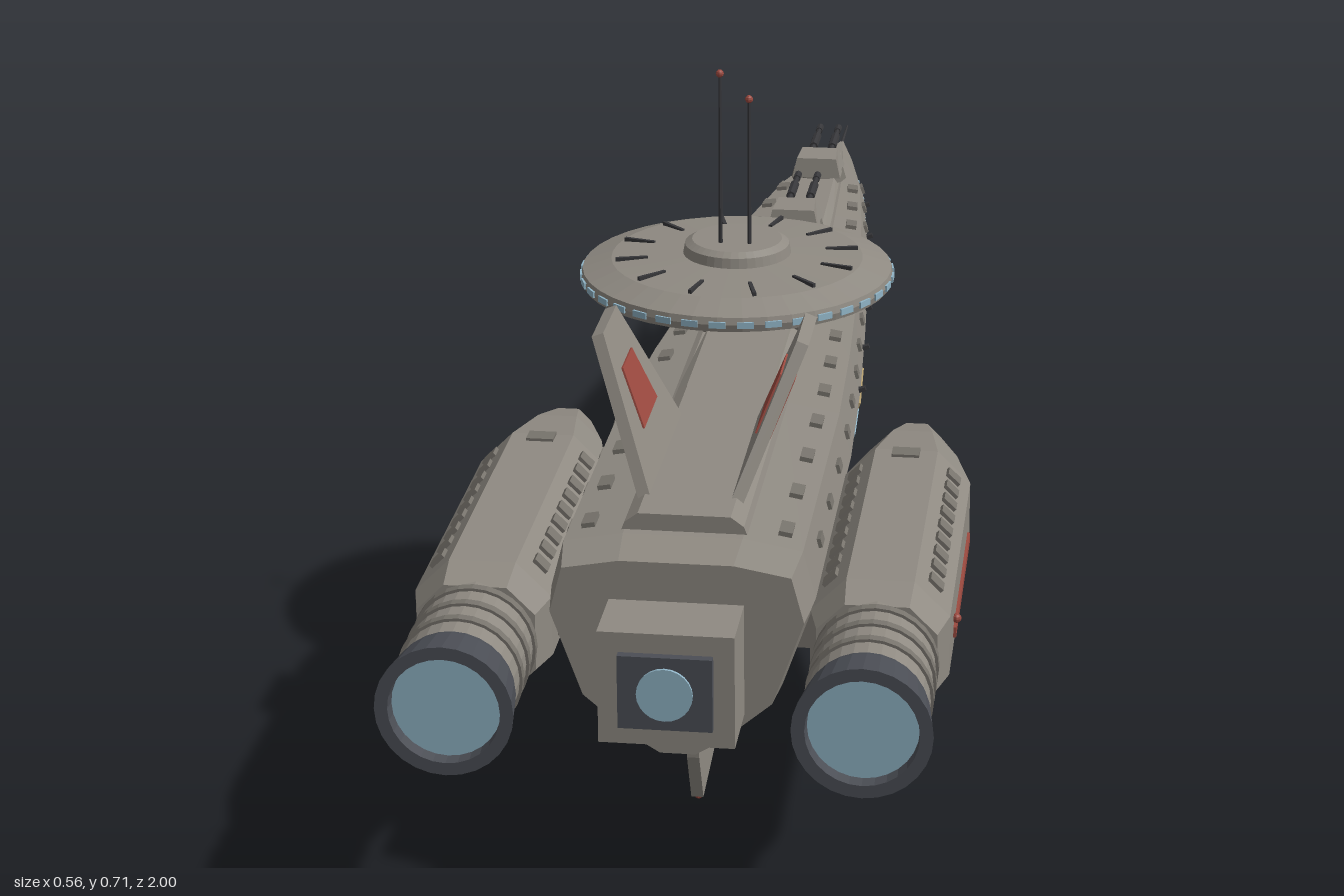
import * as THREE from 'three';

const mat = (name, color, extra = {}) => Object.assign(new THREE.MeshStandardMaterial({ color, flatShading: true, ...extra }), { name });
const M = {
  hull: mat('hull grey', 0x8f8a82),
  trim: mat('trim grey', 0x77736c),
  dark: mat('dark slate', 0x4b4e55),
  gun: mat('gunmetal', 0x37373a),
  blue: mat('glow blue', 0x90b4c6),
  red: mat('signal red', 0x9c4a40),
  amber: mat('amber panel', 0xb09a6c),
};

export function createModel() {
  const root = new THREE.Group();
  root.name = 'starship';

  const add = (name, geo, material, x = 0, y = 0, z = 0, parent = root) => {
    const m = new THREE.Mesh(geo, material);
    m.name = name;
    m.position.set(x, y, z);
    parent.add(m);
    return m;
  };
  const box = (w, h, d) => new THREE.BoxGeometry(w, h, d);
  // cylinder along z, first radius at the +z end
  const rod = (rBack, rFront, len, seg = 24) => new THREE.CylinderGeometry(rBack, rFront, len, seg).rotateX(Math.PI / 2);

  // skin between rings (counter-clockwise from +z), ordered from high z to low z
  function loft(rings) {
    const pos = [], tri = (...p) => p.forEach(v => pos.push(...v));
    const n = rings[0].length, last = rings[rings.length - 1];
    for (let r = 0; r < rings.length - 1; r++) {
      const a = rings[r], b = rings[r + 1];
      for (let i = 0; i < n; i++) {
        const j = (i + 1) % n;
        tri(a[i], b[i], b[j]);
        tri(a[i], b[j], a[j]);
      }
    }
    for (let i = 1; i < n - 1; i++) {
      tri(rings[0][0], rings[0][i], rings[0][i + 1]);
      tri(last[0], last[i + 1], last[i]);
    }
    const g = new THREE.BufferGeometry();
    g.setAttribute('position', new THREE.Float32BufferAttribute(pos, 3));
    g.computeVertexNormals();
    return g;
  }
  const mirrorRing = half => [...half, ...half.slice().reverse().map(([x, y, z]) => [-x, y, z])];

  // hull stations: z, half width, bottom, top
  const stations = [
    [0.83, 0.128, 0.132, 0.342], [0.78, 0.135, 0.127, 0.35], [0.4, 0.135, 0.127, 0.347], [0.2, 0.127, 0.138, 0.338],
    [0, 0.115, 0.152, 0.326], [-0.2, 0.101, 0.17, 0.313], [-0.4, 0.083, 0.188, 0.3],
    [-0.6, 0.06, 0.208, 0.283], [-0.8, 0.026, 0.23, 0.258], [-0.915, 0.002, 0.241, 0.245],
  ];
  const profile = [[0.14, 0], [0.33, 0.07], [0.75, 0.29], [1, 0.72], [0.9, 0.95], [0.45, 1]];
  const stationAt = z => {
    let i = 0;
    while (i < stations.length - 2 && stations[i + 1][0] > z) i++;
    const a = stations[i], b = stations[i + 1], t = (a[0] - z) / (a[0] - b[0]);
    return a.map((v, k) => v + (b[k] - v) * t);
  };
  const sectionAt = z => {
    const [, w, lo, hi] = stationAt(z);
    return profile.map(([u, v]) => [u * w, lo + v * (hi - lo), z]);
  };
  add('hull', loft(stations.map(s => mirrorRing(sectionAt(s[0])))), M.hull);

  // raised dorsal deck and keel rail
  const deckTop = z => stationAt(z)[3] + (z > -0.7 ? 0.018 : 0.008);
  add('dorsalDeck', loft([0.77, 0.4, 0.2, 0, -0.2, -0.4, -0.6, -0.8].map(z => {
    const w = stationAt(z)[1] * 0.5, y = stationAt(z)[3];
    return mirrorRing([[w, y - 0.01, z], [w * 0.9, y + 0.008, z], [w * 0.7, deckTop(z), z]]);
  })), M.hull);
  add('keelRail', loft([0.8, 0.4, 0.2, -0.2, -0.6].map(z => {
    const y = stationAt(z)[2];
    return mirrorRing([[0.012, y - 0.005, z], [0.016, y + 0.01, z]]);
  })), M.dark);
  add('noseSpike', rod(0.003, 0.0015, 0.1, 6), M.gun, 0, 0.243, -0.95);

  // plate lying on hull face `edge`, t up the face, on side s
  function onHull(name, s, edge, t, z, len, high, thick, material, lift = 0) {
    const at = zz => {
      const q = sectionAt(zz), a = new THREE.Vector3(...q[edge]), b = new THREE.Vector3(...q[edge + 1]);
      const dir = b.clone().sub(a), p = a.lerp(b, t);
      dir.x *= s; p.x *= s;
      return { p, dir };
    };
    const { p, dir } = at(z);
    const X = at(z + 0.01).p.sub(at(z - 0.01).p).normalize();
    const Z = X.clone().cross(dir).normalize(), Y = Z.clone().cross(X);
    const m = add(name, box(len, high, thick), material);
    m.quaternion.setFromRotationMatrix(new THREE.Matrix4().makeBasis(X, Y, Z));
    m.position.copy(p).addScaledVector(Z, Z.x * s > 0 ? lift : -lift);
  }

  for (const s of [1, -1]) {
    // window rows
    for (let i = 0; i < 46; i++) {
      const z = 0.3 - i * 0.022;
      if (i % 5 !== 4 && z < 0.08) onHull('window', s, 2, 0.88, z, 0.011, 0.005, 0.004, M.blue);
      if (i % 4 < 2) onHull('lowerWindow', s, 2, 0.7, z, 0.009, 0.004, 0.004, M.blue);
    }
    onHull('bluePanel', s, 2, 0.88, 0.275, 0.08, 0.012, 0.005, M.blue);
    onHull('amberPanel', s, 2, 0.9, 0.165, 0.12, 0.014, 0.005, M.amber);
    onHull('redPanel', s, 3, 0.55, -0.275, 0.07, 0.018, 0.006, M.red);
    // hatches and surface boxes
    for (let i = 0; i < 14; i++) {
      const z = 0.74 - i * 0.1;
      onHull('deckHatch', s, 4, 0.35, z, 0.028, 0.014, 0.01, M.trim);
      onHull('shoulderHatch', s, 3, 0.5, z - 0.05, 0.022, 0.01, 0.008, M.trim);
      onHull('sideHatch', s, 2, i % 2 ? 0.28 : 0.4, z - 0.03, 0.03, 0.016, 0.008, M.trim);
      onHull('bellyVent', s, 1, 0.5, z - 0.02, 0.02, 0.006, 0.014, M.gun);
    }
    // short sensor rods standing off the flanks
    for (let i = 0; i < 6; i++) {
      onHull('flankSensor', s, 2, 0.1, 0.35 - i * 0.17, 0.03, 0.005, 0.004, M.trim, 0.012);
      onHull('sensorStalk', s, 2, 0.1, 0.35 - i * 0.17, 0.004, 0.004, 0.024, M.gun);
      onHull('edgeSensor', s, 3, 0.1, 0.2 - i * 0.15, 0.008, 0.005, 0.016, M.gun);
    }
  }

  // stern block and central thruster
  add('sternBlock', box(0.136, 0.12, 0.09), M.hull, 0, 0.24, 0.86);
  add('sternPanel', box(0.094, 0.078, 0.012), M.dark, 0, 0.24, 0.908);
  add('centreGlow', rod(0.028, 0.028, 0.006, 24), M.blue, 0, 0.24, 0.914);

  // engine pods
  const octagon = (w, h, c, z) => [[c - w, -h, z], [w - c, -h, z], [w, c - h, z], [w, h - c, z],
    [w - c, h, z], [c - w, h, z], [-w, h - c, z], [-w, c - h, z]];
  const podGeo = loft([octagon(0.06, 0.058, 0.028, 0.84), octagon(0.07, 0.068, 0.036, 0.8),
    octagon(0.07, 0.068, 0.036, 0.46), octagon(0.05, 0.054, 0.028, 0.37), octagon(0.026, 0.035, 0.014, 0.3)]);
  const nozzleGeo = new THREE.LatheGeometry([[0.058, 0.94], [0.062, 0.955], [0.068, 1], [0.055, 1], [0.053, 0.975]]
    .map(p => new THREE.Vector2(...p)), 28).rotateX(Math.PI / 2);
  for (const s of [1, -1]) {
    const pod = new THREE.Group();
    pod.name = s > 0 ? 'leftEngine' : 'rightEngine';
    pod.position.set(s * 0.201, 0.253, 0);
    root.add(pod);
    add('podBody', podGeo, M.hull, 0, 0, 0, pod);
    add('pylon', box(0.05, 0.05, 0.3), M.trim, -s * 0.075, 0, 0.62, pod);
    add('engineBarrel', rod(0.06, 0.06, 0.13, 28), M.hull, 0, 0, 0.89, pod);
    for (const z of [0.85, 0.885, 0.92]) add('barrelRing', rod(0.063, 0.063, 0.01, 28), M.trim, 0, 0, z, pod);
    add('nozzle', nozzleGeo, M.dark, 0, 0, 0, pod);
    add('engineGlow', rod(0.0545, 0.0545, 0.006, 28), M.blue, 0, 0, 0.983, pod);
    add('redStripe', box(0.006, 0.011, 0.24), M.red, s * 0.07, -0.014, 0.62, pod);
    add('sideLight', new THREE.SphereGeometry(0.005, 8, 6), M.red, s * 0.073, 0, 0.735, pod);
    add('podHatch', box(0.03, 0.006, 0.022), M.trim, 0, 0.068, 0.44 + 0.03, pod);
    for (let i = 0; i < 9; i++)
      for (const side of [1, -1])
        add('podRib', box(0.018, 0.008, 0.018), M.trim, side * 0.052, 0.05, 0.49 + i * 0.034, pod).rotation.z = -side * Math.PI / 4;
  }

  // flat plate from [z, y] corners, centred on x
  const plate = (pts, t) => new THREE.ExtrudeGeometry(new THREE.Shape(pts.map(p => new THREE.Vector2(...p))),
    { depth: t, bevelEnabled: false }).translate(0, 0, -t / 2).rotateY(-Math.PI / 2);

  // ventral fin
  add('ventralFin', plate([[0.47, 0.14], [0.56, 0.05], [0.6, 0.02], [0.69, 0.008], [0.72, 0.07], [0.725, 0.14]], 0.013), M.hull);
  add('ventralLight', new THREE.SphereGeometry(0.005, 8, 6), M.red, 0, 0.006, 0.68);

  // canted dorsal fins
  for (const s of [1, -1]) {
    const fin = new THREE.Group();
    fin.name = s > 0 ? 'leftDorsalFin' : 'rightDorsalFin';
    fin.position.set(s * 0.045, 0.357, 0);
    fin.rotation.z = -s * 0.38;
    root.add(fin);
    add('finBlade', plate([[0.49, 0], [0.56, 0.165], [0.645, 0.165], [0.725, 0]], 0.013), M.hull, 0, 0, 0, fin);
    add('finPanel', plate([[0.56, 0.055], [0.575, 0.12], [0.635, 0.12], [0.65, 0.055]], 0.017), M.red, 0, 0, 0, fin);
  }

  // command tower: plinth, neck and saucer
  const slab = (w, y, zBack, zFront) => [[w, y, zBack], [w, y, zFront], [-w, y, zFront], [-w, y, zBack]];
  add('towerPlinth', loft([slab(0.062, 0.34, 0.47, 0.17), slab(0.058, 0.366, 0.46, 0.19), slab(0.05, 0.372, 0.45, 0.2)]), M.hull);
  add('towerNeck', loft([slab(0.046, 0.37, 0.42, 0.22), slab(0.028, 0.425, 0.375, 0.29), slab(0.03, 0.435, 0.375, 0.295), slab(0.042, 0.458, 0.39, 0.28)]), M.hull);
  const saucer = new THREE.Group();
  saucer.name = 'saucer';
  saucer.position.set(0, 0, 0.337);
  root.add(saucer);
  add('saucerDisc', new THREE.LatheGeometry([[0, 0.452], [0.1, 0.453], [0.15, 0.461], [0.172, 0.468], [0.174, 0.476], [0.172, 0.484],
    [0.14, 0.495], [0.06, 0.5], [0.058, 0.511], [0.05, 0.516], [0, 0.516]].map(p => new THREE.Vector2(...p)), 40), M.hull, 0, 0, 0, saucer);
  const rim = (name, geo, r, y, a, material) => {
    add(name, geo, material, Math.sin(a) * r, y, Math.cos(a) * r, saucer).rotation.y = a;
  };
  for (let i = 0; i < 36; i++) rim('saucerWindow', box(0.018, 0.007, 0.006), 0.172, 0.476, i * Math.PI / 18, M.blue);
  for (let i = 0; i < 12; i++) rim('saucerSlot', box(0.004, 0.005, 0.036), 0.118, 0.497, (i + 0.5) * Math.PI / 6, M.gun);

  // antenna masts
  for (const [x, top] of [[-0.016, 0.71], [0.016, 0.682]]) {
    add('antenna', new THREE.CylinderGeometry(0.0018, 0.0025, top - 0.51, 6), M.gun, x, (top + 0.51) / 2, 0.355);
    add('antennaTip', new THREE.SphereGeometry(0.0045, 8, 6), M.red, x, top, 0.355);
  }

  // dorsal gun turrets
  for (const z of [-0.015, -0.275, -0.57]) {
    const turret = new THREE.Group();
    turret.name = 'turret';
    turret.position.set(0, deckTop(z) - 0.004, z);
    root.add(turret);
    add('turretBase', new THREE.CylinderGeometry(0.034, 0.038, 0.014, 12), M.trim, 0, 0.006, 0, turret);
    add('turretHouse', loft([mirrorRing([[0.033, 0.01, 0.038], [0.027, 0.036, 0.034]]),
      mirrorRing([[0.033, 0.01, -0.03], [0.024, 0.038, -0.012]]),
      mirrorRing([[0.028, 0.01, -0.04], [0.024, 0.026, -0.038]])]), M.hull, 0, 0, 0, turret);
    for (const x of [-0.013, 0.013]) {
      add('barrel', rod(0.0035, 0.0035, 0.13, 8), M.gun, x, 0.026, -0.085, turret);
      add('barrelJacket', rod(0.006, 0.006, 0.05, 8), M.gun, x, 0.026, -0.08, turret);
      add('muzzle', rod(0.005, 0.005, 0.02, 8), M.gun, x, 0.026, -0.14, turret);
    }
  }
  return root;
}
